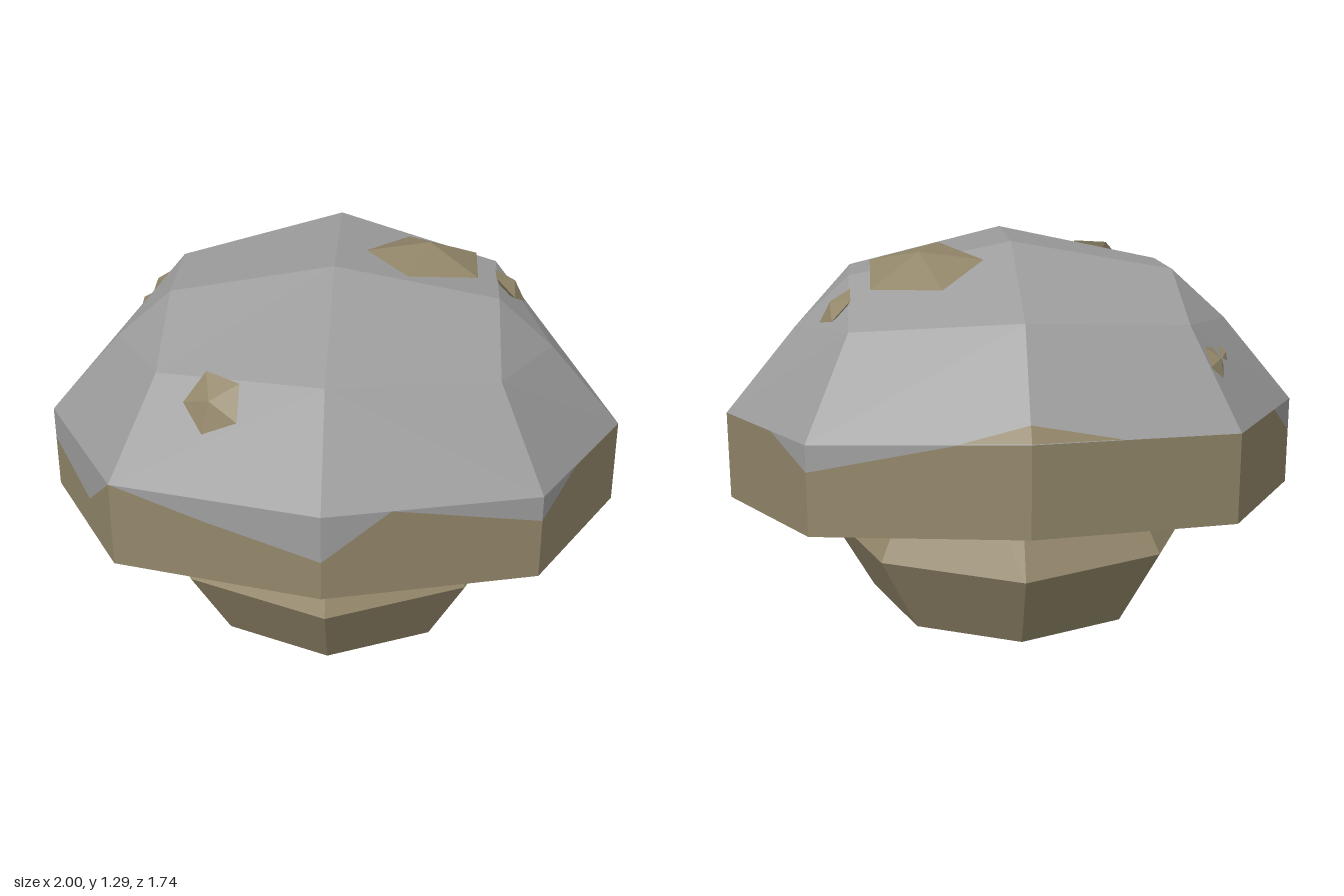
import * as THREE from 'three';

const V = (x, y, z) => new THREE.Vector3(x, y, z);

// Flat-shaded mesh from triangles, each turned away from (or toward) a pivot point
function facets(name, material, tris, pivot, inward = false) {
  const pos = [];
  for (const [a, b, c] of tris) {
    const n = b.clone().sub(a).cross(c.clone().sub(a));
    const out = n.dot(a.clone().add(b).add(c).divideScalar(3).sub(pivot)) > 0;
    for (const p of out !== inward ? [a, b, c] : [a, c, b]) pos.push(p.x, p.y, p.z);
  }
  const g = new THREE.BufferGeometry();
  g.setAttribute('position', new THREE.Float32BufferAttribute(pos, 3));
  g.computeVertexNormals();
  const mesh = new THREE.Mesh(g, material);
  mesh.name = name;
  return mesh;
}

const quad = (a, b, c, d) => [[a, b, c], [a, c, d]];

// Point on the top edge of the cap's vertical band; s is the sign of z
function edgePoint(x, s) {
  const u = Math.abs(x);
  if (u <= 0.707) {
    const t = u / 0.707;
    return V(x, 0.865 - 0.08 * t, s * (0.87 - 0.26 * t));
  }
  const t = (u - 0.707) / 0.293;
  return V(x, 0.785 - 0.105 * t, s * 0.61 * (1 - t));
}

export function createModel() {
  const grey = new THREE.MeshStandardMaterial({ color: 0x9f9f9f });
  grey.name = 'capGrey';
  const tan = new THREE.MeshStandardMaterial({ color: 0x93876a });
  tan.name = 'stemTan';
  const model = new THREE.Group();
  model.name = 'mushroom';
  const core = V(0, 0.6, 0);
  const BAND = 0.32;

  // Eight-sided stem
  const profile = [[0, 0], [0.5, 0], [0.667, 0.3], [0.36, 0.82], [0, 0.82]];
  const stemGeo = new THREE.LatheGeometry(profile.map(([r, y]) => new THREE.Vector2(r, y)), 8).toNonIndexed();
  stemGeo.computeVertexNormals();
  const stem = new THREE.Mesh(stemGeo, tan);
  stem.name = 'stem';
  model.add(stem);

  // Cap dome, mirrored over four quarters
  const dome = [];
  for (const sx of [1, -1]) for (const sz of [1, -1]) {
    const p = (x, y, z) => V(sx * x, y, sz * z);
    const apex = p(0, 1.28, 0), side = p(0.56, 1.17, 0), hip = p(0.75, 0.99, 0);
    const corner = p(0.56, 1.095, 0.41), front = p(0, 1.175, 0.61);
    const e0 = p(0, 0.865, 0.87), e1 = p(0.707, 0.785, 0.61), e2 = p(1, 0.68, 0);
    dome.push(...quad(apex, side, corner, front), ...quad(front, corner, e1, e0),
      [side, hip, corner], [hip, e2, corner], [e2, e1, corner]);
  }
  model.add(facets('capDome', grey, dome, core));

  // Vertical band: [x, sign of z, height where grey meets tan (omitted = top edge)]
  const columns = [
    [0, 1, 0.69], [0.22, 1], [0.707, 1, 0.69], [0.83, 1], [1, 1], [0.83, -1],
    [0.707, -1, 0.69], [0.22, -1], [0, -1], [-0.3, -1], [-0.707, -1], [-0.9, -1],
    [-1, 1, 0.56], [-0.82, 1, 0.56], [-0.707, 1], [-0.39, 1, 0.735],
  ].map(([x, s, split]) => {
    const top = edgePoint(x, s);
    const mid = top.clone(), low = top.clone();
    if (split) mid.y = split;
    low.y -= BAND;
    return { top, mid, low, dips: !!split };
  });
  const drips = [], band = [];
  columns.forEach((a, i) => {
    const b = columns[(i + 1) % columns.length];
    band.push(...quad(a.low, b.low, b.mid, a.mid));
    if (a.dips && b.dips) drips.push(...quad(a.mid, b.mid, b.top, a.top));
    else if (a.dips) drips.push([a.mid, b.top, a.top]);
    else if (b.dips) drips.push([a.top, b.mid, b.top]);
  });
  model.add(facets('capBand', tan, band, core));
  model.add(facets('capDrips', grey, drips, core));

  // Tan patch creeping over the back edge
  const lift = V(0, 0.004, -0.004);
  const peak = V(0, 0.913, -0.83).add(lift);
  const [pl, pm, pr] = [-0.3, 0, 0.22].map((x) => edgePoint(x, -1).add(lift));
  model.add(facets('backPatch', tan, [[pl, pm, peak], [pm, pr, peak]], core));

  // Hollow underside: rim, inner wall, ceiling
  const rim = [[0, 1], [0.707, 1], [1, 1], [0.707, -1], [0, -1], [-0.707, -1], [-1, 1], [-0.707, 1]]
    .map(([x, s]) => edgePoint(x, s).sub(V(0, BAND, 0)));
  const wall = rim.map((p) => V(p.x * 0.86, p.y + 0.27, p.z * 0.86));
  const ceiling = rim.map((p) => V(p.x * 0.36, 0.8, p.z * 0.36));
  const under = [];
  for (let i = 0; i < 8; i++) {
    const j = (i + 1) % 8;
    under.push(...quad(rim[i], rim[j], wall[j], wall[i]),
      ...quad(wall[i], wall[j], ceiling[j], ceiling[i]),
      [ceiling[i], ceiling[j], V(0, 0.8, 0)]);
  }
  model.add(facets('capUnderside', tan, under, V(0, 0.4, 0), true));

  // Spots: shallow five-sided double pyramids; turn sets the first corner's bearing
  function spot(name, centre, normal, radius, height, turn) {
    const c = V(...centre), n = V(...normal).normalize();
    const ref = Math.abs(n.y) > 0.9 ? V(1, 0, 0) : V(0, 1, 0);
    const u = ref.addScaledVector(n, -ref.dot(n)).normalize();
    const w = n.clone().cross(u);
    const ring = Array.from({ length: 5 }, (_, i) => {
      const a = turn + (i * Math.PI * 2) / 5;
      return c.clone().addScaledVector(u, radius * Math.cos(a)).addScaledVector(w, radius * Math.sin(a));
    });
    const tip = c.clone().addScaledVector(n, height), base = c.clone().addScaledVector(n, -height);
    const tris = ring.flatMap((p, i) => [[p, ring[(i + 1) % 5], tip], [p, ring[(i + 1) % 5], base]]);
    model.add(facets(name, tan, tris, c));
  }
  spot('topSpot', [0.315, 1.235, -0.155], [0.12, 1, -0.14], 0.212, 0.06, Math.PI);
  spot('frontSpot', [-0.36, 1.07, 0.545], [-0.083, 0.146, 0.174], 0.108, 0.035, 0.55);
  spot('leftSpot', [0.6, 1.115, -0.19], [0.69, 0.72, -0.13], 0.08, 0.03, 0.4);
  spot('rightSpot', [-0.645, 0.97, -0.42], [-0.21, 0.148, -0.075], 0.065, 0.025, 0.3);
  spot('rightSmallSpot', [-0.69, 0.96, -0.31], [-0.21, 0.148, -0.075], 0.032, 0.014, 0.6);

  return model;
}
